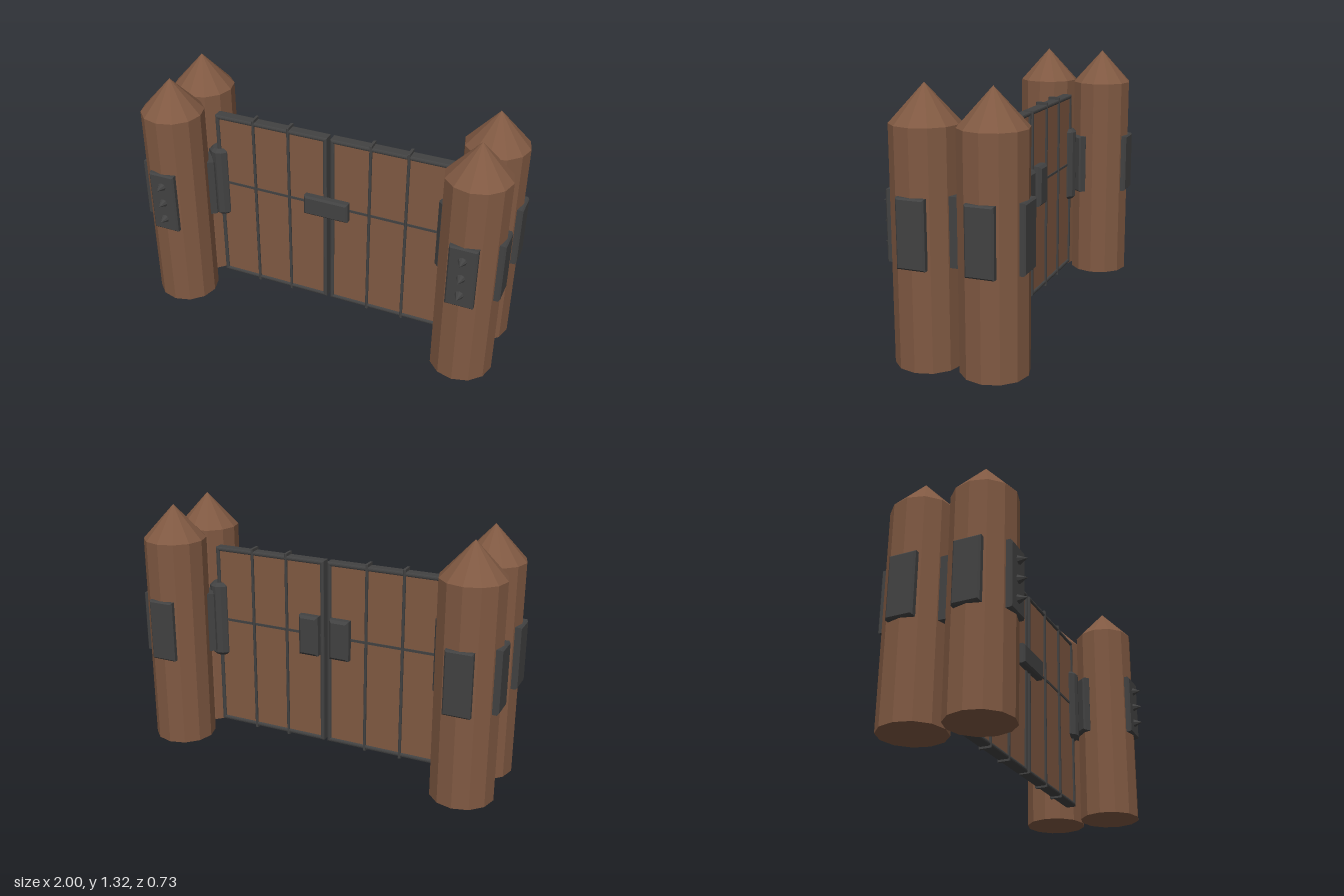
import * as THREE from 'three';

const wood = new THREE.MeshStandardMaterial({ color: 0x805942, flatShading: true });
wood.name = 'brown wood';
const iron = new THREE.MeshStandardMaterial({ color: 0x424242, flatShading: true });
iron.name = 'dark iron';

const DOOR_Z = -0.025;

function add(parent, geometry, material, name, x = 0, y = 0, z = 0) {
  const mesh = new THREE.Mesh(geometry, material);
  mesh.name = name;
  mesh.position.set(x, y, z);
  parent.add(mesh);
  return mesh;
}

function rectangle(Type, x0, y0, x1, y1) {
  return new Type().moveTo(x0, y0).lineTo(x1, y0).lineTo(x1, y1).lineTo(x0, y1).closePath();
}

// Plate with chamfered edges, centred on the origin, its face towards +z
function plateGeometry(w, h, d, bevel = 0.008) {
  const shape = rectangle(THREE.Shape, -w / 2 + bevel, -h / 2 + bevel, w / 2 - bevel, h / 2 - bevel);
  return new THREE.ExtrudeGeometry(shape, {
    depth: d - 2 * bevel, bevelEnabled: true, bevelSize: bevel, bevelThickness: bevel, bevelSegments: 1,
  }).translate(0, 0, -d / 2 + bevel);
}

// Sharpened log standing on the ground
function makePost(name) {
  const post = new THREE.Group();
  post.name = name;
  add(post, new THREE.CylinderGeometry(0.165, 0.165, 1.135, 12), wood, 'log', 0, 0.5675);
  add(post, new THREE.ConeGeometry(0.165, 0.18, 12, 1, true), wood, 'logTip', 0, 1.225);
  return post;
}

// Iron plate on a post; the angle is measured from +z towards +x
function addPostPlate(post, angle, outer, name, w = 0.14, h = 0.33) {
  const holder = new THREE.Group();
  holder.name = name;
  holder.rotation.y = angle;
  add(holder, plateGeometry(w, h, 0.05), iron, name + 'Iron', 0, 0.66, outer - 0.025);
  post.add(holder);
  return holder;
}

function makeDoor(side) {
  const door = new THREE.Group();
  door.name = side > 0 ? 'leftDoor' : 'rightDoor';
  door.position.set(side * 0.333, 0.56, DOOR_Z);
  const w = 0.646, h = 1.02, b = 0.008;

  add(door, new THREE.BoxGeometry(w - 0.03, h - 0.03, 0.044), wood, 'doorPanel');

  // Rim around the boards
  const rim = rectangle(THREE.Shape, -w / 2 + b, -h / 2 + b, w / 2 - b, h / 2 - b);
  const e = 0.014;
  rim.holes.push(rectangle(THREE.Path, -w / 2 + e, -h / 2 + e, w / 2 - e, h / 2 - e));
  const rimGeometry = new THREE.ExtrudeGeometry(rim, {
    depth: 0.046, bevelEnabled: true, bevelSize: b, bevelThickness: b, bevelSegments: 2,
  }).translate(0, 0, -0.023);
  add(door, rimGeometry, iron, 'doorRim');

  // Narrow straps
  for (const x of [0.23, 0.432]) {
    add(door, plateGeometry(0.014, 1.046, 0.066, 0.003), iron, 'verticalStrap', side * (x - 0.333), 0.002);
  }
  add(door, new THREE.BoxGeometry(w - 0.02, 0.013, 0.054), iron, 'crossStrap', 0, 0.102);

  // Pull plate on the rear face
  add(door, plateGeometry(0.11, 0.22, 0.06, 0.014), iron, 'rearPullPlate', side * (0.088 - 0.333), 0.1, -0.037);
  return door;
}

// Hinge barrel with chamfered ends
function makeHinge(side) {
  const profile = [[0, -0.21], [0.04, -0.21], [0.058, -0.192], [0.058, 0.192], [0.04, 0.21], [0, 0.21]]
    .map(([r, y]) => new THREE.Vector2(r, y));
  const hinge = new THREE.Mesh(new THREE.LatheGeometry(profile, 12), iron);
  hinge.name = side > 0 ? 'leftHinge' : 'rightHinge';
  hinge.position.set(side * 0.652, 0.66, DOOR_Z);
  return hinge;
}

export function createModel() {
  const model = new THREE.Group();
  model.name = 'palisadeGate';

  for (const side of [1, -1]) {
    const label = side > 0 ? 'left' : 'right';
    const front = makePost(label + 'FrontPost');
    front.position.set(side * 0.822, 0, 0.145);
    const back = makePost(label + 'BackPost');
    back.position.set(side * 0.822, 0, -0.185);
    model.add(front, back);

    // Spiked plate on the front post
    const spiked = addPostPlate(front, 0, 0.175, 'spikedPlate', 0.145, 0.345);
    for (const y of [0.56, 0.66, 0.76]) {
      const spike = add(spiked, new THREE.ConeGeometry(0.025, 0.05, 8), iron, 'spike', 0, y, 0.196);
      spike.rotation.x = Math.PI / 2;
    }

    // Plates on the outer, rear and facing sides
    addPostPlate(back, Math.PI, 0.175, 'rearPlate');
    for (const post of [front, back]) addPostPlate(post, side * Math.PI / 2, 0.178, 'outerPlate');
    addPostPlate(front, Math.PI, 0.184, 'innerBackPlate', 0.15);
    addPostPlate(back, 0, 0.184, 'innerFrontPlate', 0.15);

    // Slanted plates meeting the hinge
    addPostPlate(front, -side * Math.PI * 0.71, 0.192, 'hingePlate', 0.12);
    addPostPlate(back, -side * Math.PI * 0.29, 0.192, 'hingePlate', 0.12);

    model.add(makeHinge(side), makeDoor(side));
  }

  // Latch across both doors
  add(model, plateGeometry(0.25, 0.112, 0.05, 0.01), iron, 'latch', -0.005, 0.66, 0.015);

  return model;
}
